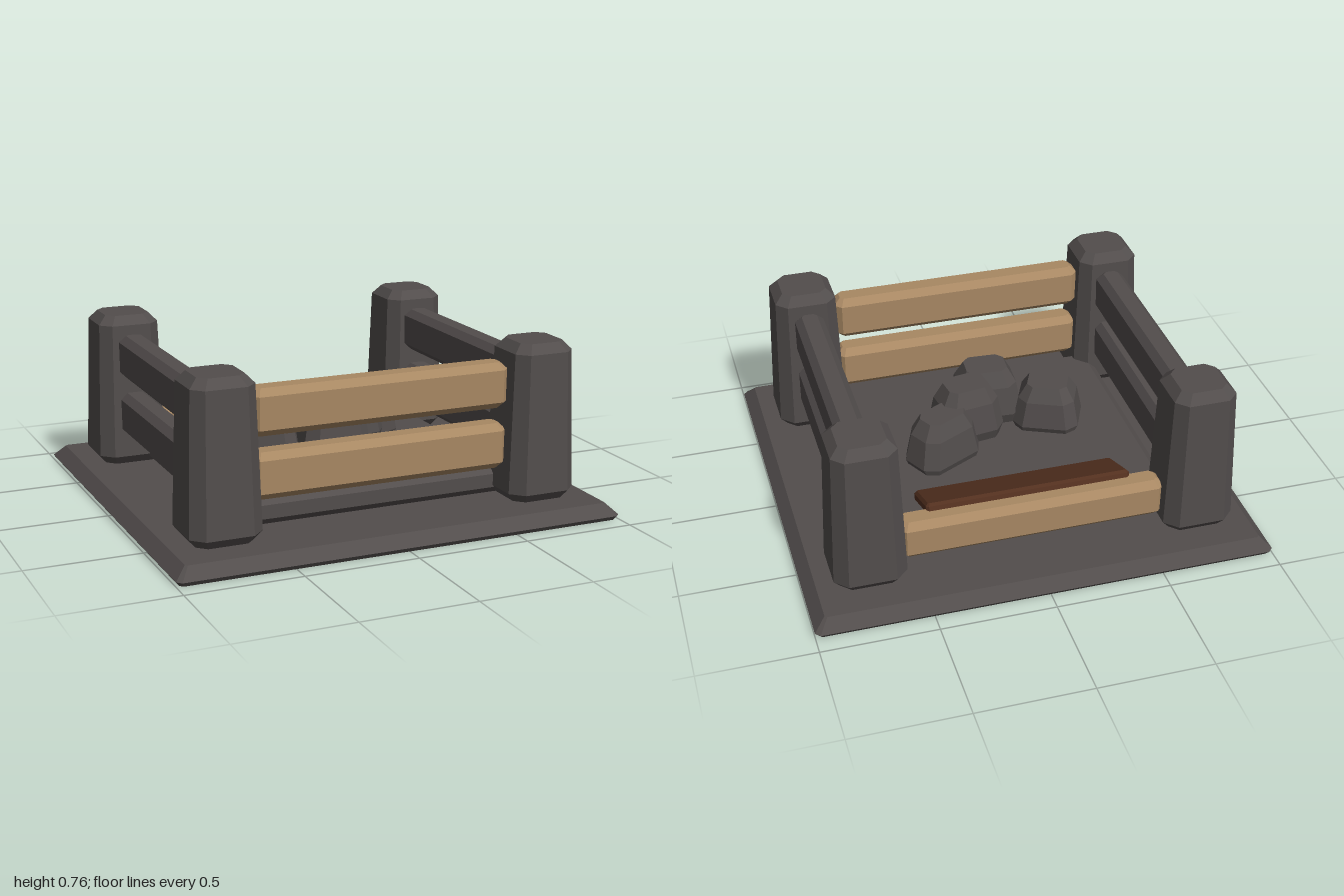
import * as THREE from 'three';
import { ConvexGeometry } from 'three/addons/geometries/ConvexGeometry.js';

const mat = (name, color) => {
  const m = new THREE.MeshStandardMaterial({ color });
  m.name = name;
  return m;
};

// Faceted solid from stacked rectangles with cut corners: [y, halfX, halfZ, cut]
function rings(levels) {
  const pts = [];
  for (const [y, hx, hz, c] of levels)
    for (const sx of [-1, 1])
      for (const sz of [-1, 1])
        pts.push(
          new THREE.Vector3(sx * hx, y, sz * (hz - c)),
          new THREE.Vector3(sx * (hx - c), y, sz * hz)
        );
  return new ConvexGeometry(pts);
}

// Box centred on the origin with every edge chamfered
function chamferBox(w, h, d, c) {
  const x = w / 2, y = h / 2, z = d / 2;
  return rings([
    [-y, x - c, z - c, c * 0.5],
    [-y + c, x, z, c],
    [y - c, x, z, c],
    [y, x - c, z - c, c * 0.5],
  ]);
}

export function createModel() {
  const model = new THREE.Group();
  const stone = mat('dark stone', 0x524d4c);
  const wood = mat('light wood', 0xa88863);
  const brown = mat('brown wood', 0x53301f);

  const add = (name, geometry, material, x, y, z, rx = 0, ry = 0) => {
    const mesh = new THREE.Mesh(geometry, material);
    mesh.name = name;
    mesh.position.set(x, y, z);
    mesh.rotation.set(rx, ry, 0);
    model.add(mesh);
    return mesh;
  };

  // Ground slab with bevelled rim, and the raised floor inside the posts
  add('baseSlab', rings([
    [0, 0.985, 0.915, 0.015],
    [0.02, 1, 0.93, 0.02],
    [0.07, 0.95, 0.88, 0.01],
  ]), stone, 0, 0, 0);
  add('floor', rings([
    [0.07, 0.63, 0.55, 0.02],
    [0.1, 0.66, 0.58, 0.03],
    [0.16, 0.66, 0.58, 0.03],
    [0.19, 0.625, 0.545, 0.02],
  ]), stone, 0, 0, 0);

  // Four tapered corner posts
  const post = rings([
    [0.07, 0.125, 0.125, 0.04],
    [0.11, 0.157, 0.157, 0.055],
    [0.72, 0.137, 0.137, 0.048],
    [0.76, 0.1, 0.1, 0.035],
  ]);
  for (const x of [-0.723, 0.723])
    for (const z of [-0.618, 0.618]) add('post', post, stone, x, 0, z);

  // Two rails on the front and on each side
  const frontRail = chamferBox(1.17, 0.2, 0.13, 0.03);
  const sideRail = chamferBox(0.13, 0.197, 1.02, 0.03);
  for (const y of [0.31, 0.577]) {
    add('frontRail', frontRail, wood, 0, y, 0.608);
    for (const x of [-0.72, 0.72]) add('sideRail', sideRail, stone, x, y, 0);
  }

  // Single low rail at the back with a board leaning on it
  add('backRail', chamferBox(1.17, 0.18, 0.13, 0.03), wood, 0, 0.205, -0.615);
  add('leaningBoard', chamferBox(0.9, 0.05, 0.25, 0.012), brown, 0, 0.255, -0.482, 0.38);

  // Heap of rocks: x, bottom, z, width, height, depth, turn
  const rocks = [
    [-0.29, 0.17, 0.07, 0.3, 0.23, 0.26, -0.42],
    [-0.02, 0.21, 0.17, 0.31, 0.26, 0.25, -0.06],
    [0.11, 0.22, 0.03, 0.31, 0.26, 0.24, 0.15],
    [0.25, 0.17, -0.09, 0.33, 0.25, 0.22, 0.48],
  ];
  for (const [x, y, z, w, h, d, turn] of rocks) {
    const a = w / 2, b = d / 2;
    add('rock', rings([
      [0, a * 0.85, b * 0.85, 0.03],
      [h * 0.2, a, b, 0.05],
      [h * 0.72, a * 0.85, b * 0.85, 0.045],
      [h, a * 0.6, b * 0.58, 0.03],
    ]), stone, x, y, z, 0, turn);
  }
  return model;
}
